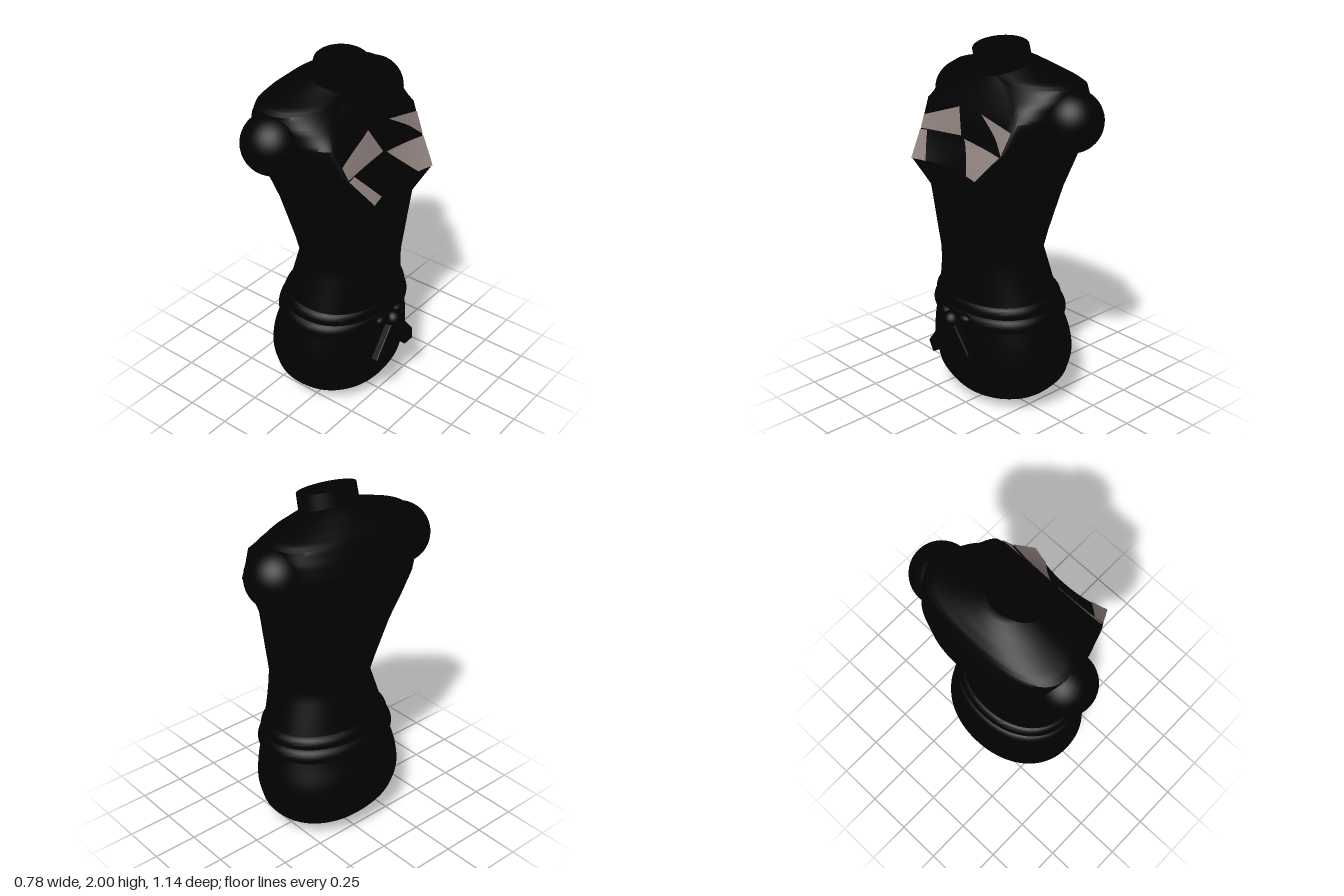
import * as THREE from 'three';
import { toCreasedNormals } from 'three/addons/utils/BufferGeometryUtils.js';

const black = new THREE.MeshStandardMaterial({ color: 0x010101 });
black.name = 'black fabric';
const skin = new THREE.MeshStandardMaterial({ color: 0x8a7d79 });
skin.name = 'warm grey';

// Horizontal sections: y, back x, side x, half width z, back squareness,
// front centre x, front corner x and z, squareness from corner to side
const PELVIS = [
  [0, -0.03, -0.025, 0.004, 2, -0.02, -0.02, 0, 2],
  [0.005, -0.08, -0.02, 0.09, 2, 0.06, 0.06, 0, 2],
  [0.02, -0.14, -0.02, 0.17, 2, 0.125, 0.125, 0, 2],
  [0.065, -0.235, -0.02, 0.282, 2, 0.212, 0.212, 0, 2],
  [0.15, -0.315, -0.03, 0.372, 2.1, 0.272, 0.272, 0, 2.1],
  [0.22, -0.35, -0.03, 0.402, 2.1, 0.29, 0.29, 0, 2.1],
  [0.3, -0.368, -0.03, 0.415, 2.1, 0.3, 0.3, 0, 2.2],
  [0.4, -0.355, -0.02, 0.408, 2.1, 0.295, 0.295, 0, 2.2],
  [0.5, -0.32, -0.01, 0.385, 2.1, 0.29, 0.29, 0, 2.2],
  [0.6, -0.29, 0, 0.36, 2.1, 0.285, 0.285, 0, 2.2],
  [0.66, -0.27, 0, 0.343, 2.1, 0.285, 0.285, 0, 2.2],
];
const TRUNK = [
  ...PELVIS.slice(-2),
  [0.9, -0.21, 0.02, 0.265, 2.2, 0.281, 0.277, 0.12, 2],
  [1.0, -0.235, 0, 0.275, 2.3, 0.289, 0.284, 0.14, 2],
  [1.25, -0.3, -0.05, 0.322, 2.5, 0.305, 0.302, 0.19, 1.6],
  [1.4, -0.345, -0.1, 0.362, 2.6, 0.34, 0.38, 0.25, 1.15],
  [1.525, -0.38, -0.1, 0.405, 2.7, 0.255, 0.265, 0.315, 1.3],
  [1.67, -0.388, -0.11, 0.433, 2.7, 0.205, 0.195, 0.335, 1.5],
  [1.745, -0.362, -0.12, 0.438, 2.7, 0.157, 0.14, 0.25, 2],
  [1.81, -0.328, -0.12, 0.438, 2.6, 0.108, 0.09, 0.15, 2],
  [1.83, -0.314, -0.12, 0.405, 2.4, 0.095, 0.085, 0.1, 2],
  [1.865, -0.275, -0.11, 0.28, 2.2, 0.07, 0.07, 0, 2],
  [1.9, -0.222, -0.1, 0.17, 2, 0.03, 0.03, 0, 2],
  [1.92, -0.18, -0.1, 0.1, 2, -0.03, -0.03, 0, 2],
  [1.921, -0.1, -0.1, 0, 2, -0.1, -0.1, 0, 2],
];
const BODY = [...PELVIS, ...TRUNK.slice(2)];

const mix = (a, b, t) => a.map((v, i) => v + (b[i] - v) * t);

function sectionAt(y) {
  const i = BODY.findIndex((k) => k[0] > y) - 1;
  return mix(BODY[i], BODY[i + 1], (y - BODY[i][0]) / (BODY[i + 1][0] - BODY[i][0]));
}

// Half outline from front centre, past the front corner and side, to back centre
function halfOutline([, xb, cx, w, nb, xf, kx, kz, nf]) {
  const out = [];
  for (let i = 0; i < 8; i++) out.push([xf + (kx - xf) * (i / 8) ** 2, kz * i / 8]);
  for (let i = 0; i <= 40; i++) {
    const a = (i / 40) * Math.PI, c = Math.abs(Math.cos(a)), s = Math.sin(a);
    if (i < 20) out.push([cx + (kx - cx) * c ** (2 / nf), kz + (w - kz) * s ** (2 / nf)]);
    else out.push([cx + (xb - cx) * c ** (2 / nb), w * Math.abs(s) ** (2 / nb)]);
  }
  return out;
}

// Skin a list of sections, mirrored across z
function loft(sections, droop = 0) {
  const pos = [], idx = [];
  sections.forEach((s, i) => {
    const half = halfOutline(s);
    const ring = [...half, ...half.slice(1, -1).reverse().map(([x, z]) => [x, -z])];
    const N = ring.length;
    ring.forEach(([x, z], j) => {
      pos.push(x, s[0] - droop * x, z);
      if (!i) return;
      const k = (j + 1) % N, p = (i - 1) * N, r = i * N;
      idx.push(p + j, r + j, p + k, p + k, r + j, r + k);
    });
  });
  const g = new THREE.BufferGeometry();
  g.setAttribute('position', new THREE.Float32BufferAttribute(pos, 3));
  g.setIndex(idx);
  return toCreasedNormals(g, 0.6);
}

// Rows between key sections: straight, or rounded through the keys
function refine(keys, rounded) {
  const out = [], at = (i) => keys[Math.max(0, Math.min(keys.length - 1, i))];
  for (let i = 0; i < keys.length - 1; i++)
    for (let k = 0; k < 4; k++) {
      const t = k / 4, line = mix(keys[i], keys[i + 1], t);
      out.push(rounded ? line.map((_, n) => THREE.MathUtils.clamp(
        0.5 * (2 * at(i)[n] + (at(i + 1)[n] - at(i - 1)[n]) * t
        + (2 * at(i - 1)[n] - 5 * at(i)[n] + 4 * at(i + 1)[n] - at(i + 2)[n]) * t * t
        + (3 * at(i)[n] - at(i - 1)[n] - 3 * at(i + 1)[n] + at(i + 2)[n]) * t * t * t), -1, 3)) : line);
    }
  out.push(at(keys.length - 1));
  return out;
}

// Thin chest panel lying on the flat front of the bust; corners are [z, y]
function chestPanel(a, b, c, d) {
  const g = new THREE.PlaneGeometry(1, 1, 14, 14), p = g.attributes.position;
  for (let i = 0; i < p.count; i++) {
    const u = p.getX(i) + 0.5, v = 0.5 - p.getY(i);
    const [z, y] = mix(mix(a, b, u), mix(d, c, u), v);
    const s = sectionAt(y), kz = s[7], inside = Math.min(Math.abs(z), kz);
    p.setXYZ(i, s[5] + (s[6] - s[5]) * (inside / kz) ** 2 + 0.006, y, Math.sign(z) * inside);
  }
  g.computeVertexNormals();
  return g;
}

// Sash band: a rounded ring around the hips, dipping slightly at the front
function sashBand(y0, y1, puff) {
  const rows = [];
  for (let i = 0; i <= 10; i++) {
    const t = i / 10, o = -0.012 + puff * Math.max(0, Math.sin(t * Math.PI)) ** 0.4;
    const s = sectionAt(y0 + (y1 - y0) * t);
    s[1] -= o;
    s[3] += o;
    s[5] += o;
    s[6] += o;
    rows.push(s);
  }
  return loft(rows, 0.05);
}

export function createModel() {
  const model = new THREE.Group();
  const add = (name, geometry, material = black) => {
    const m = new THREE.Mesh(geometry, material);
    m.name = name;
    model.add(m);
    return m;
  };

  // Body
  add('pelvis', loft(refine(PELVIS, true)));
  add('trunk', loft(refine(TRUNK, false)));
  const neck = add('neck', new THREE.CylinderGeometry(1, 1.04, 0.25, 48));
  neck.scale.set(0.129, 1, 0.166);
  neck.rotation.z = -0.24;
  neck.position.set(-0.041, 1.848, 0);

  // Rounded arm stumps
  for (const side of [1, -1]) {
    const arm = add(side > 0 ? 'leftArmStump' : 'rightArmStump', new THREE.SphereGeometry(0.163, 40, 28));
    arm.position.set(-0.12, 1.645, side * 0.409);
  }

  // Pale panels across the chest
  [
    [[0.32, 1.59], [0.07, 1.68], [0.005, 1.55], [0.31, 1.525]],
    [[0.31, 1.52], [0.26, 1.525], [0.16, 1.4], [0.25, 1.4]],
    [[-0.1, 1.675], [-0.335, 1.63], [-0.315, 1.52], [-0.23, 1.595]],
    [[-0.02, 1.54], [-0.315, 1.515], [-0.248, 1.4], [-0.155, 1.4]],
  ].forEach((q, i) => {
    // The viewer facing +x sees +z on the left, so corners run clockwise from there
    add('chestPanel' + (i + 1), chestPanel(...q), skin);
  });

  // Knotted sash
  add('upperSash', sashBand(0.595, 0.672, 0.028));
  add('lowerSash', sashBand(0.52, 0.61, 0.034));
  const knot = add('sashKnot', new THREE.SphereGeometry(1, 24, 16));
  knot.scale.set(0.05, 0.052, 0.052);
  knot.position.set(0.34, 0.545, 0);
  const tailShape = new THREE.Shape([[-0.018, 0], [0.018, 0], [0.042, -0.2], [0.012, -0.26], [-0.04, -0.23]]
    .map(([x, y]) => new THREE.Vector2(x, y)));
  for (const side of [1, -1]) {
    const loop = add('sashLoop', new THREE.SphereGeometry(1, 20, 14));
    loop.scale.set(0.03, 0.032, 0.06);
    loop.rotation.x = side * -0.2;
    loop.position.set(0.32, 0.565, side * 0.065);
    const tail = add('sashTail', new THREE.ExtrudeGeometry(tailShape, {
      depth: 0.03, bevelEnabled: true, bevelSize: 0.006, bevelThickness: 0.008, bevelSegments: 2,
    }));
    tail.rotation.set(0, Math.PI / 2, side * -0.55, 'YXZ');
    tail.position.set(0.325, 0.54, side * 0.01);
  }
  return model;
}
